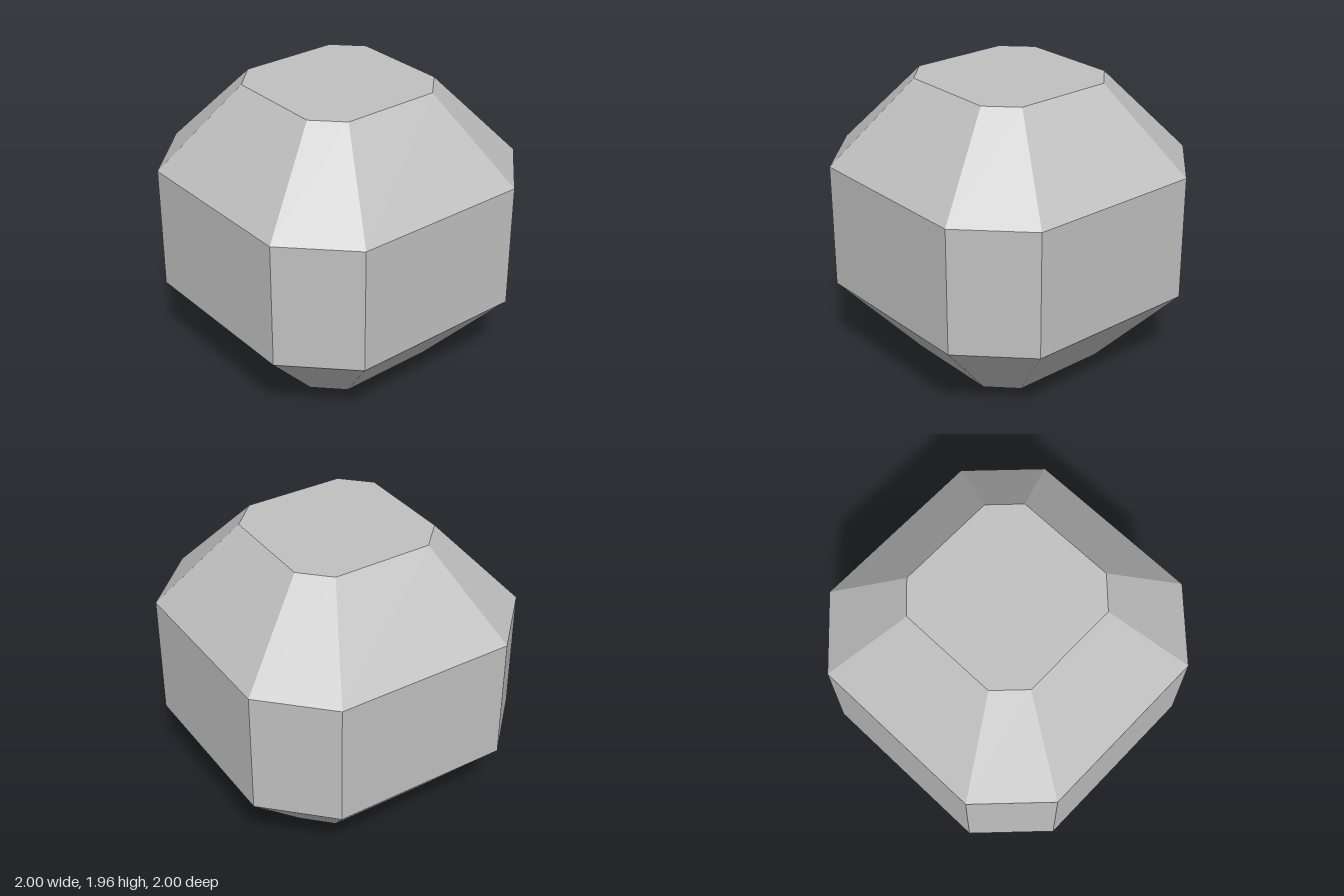
import * as THREE from 'three';

// Each ring is a square with cut corners: height, half width, half length of its straight sides
const RINGS = [
  { y: 0, half: 0.51, side: 0.335 },
  { y: 0.56, half: 1, side: 0.605 },
  { y: 1.4, half: 1, side: 0.605 },
  { y: 1.96, half: 0.51, side: 0.335 },
];

// Eight corners, running from +x towards +z
function ringPoints({ y, half: h, side: s }) {
  return [[h, -s], [h, s], [s, h], [-s, h], [-h, s], [-h, -s], [-s, -h], [s, -h]]
    .map(([x, z]) => new THREE.Vector3(x, y, z));
}

// Unshared corners give every facet its own flat normal
function facetGeometry(triangles) {
  const geometry = new THREE.BufferGeometry().setFromPoints(triangles);
  geometry.computeVertexNormals();
  return geometry;
}

// Band of eight flat facets between two rings
function bandGeometry(lower, upper) {
  const triangles = [];
  for (let i = 0; i < 8; i++) {
    const j = (i + 1) % 8;
    triangles.push(lower[j], lower[i], upper[i], lower[j], upper[i], upper[j]);
  }
  return facetGeometry(triangles);
}

// Flat octagonal end
function capGeometry(ring, facesUp) {
  const triangles = [];
  for (let i = 1; i < 7; i++) {
    triangles.push(ring[0], ...(facesUp ? [ring[i + 1], ring[i]] : [ring[i], ring[i + 1]]));
  }
  return facetGeometry(triangles);
}

export function createModel() {
  const group = new THREE.Group();
  group.name = 'facetedStone';
  const stoneGrey = new THREE.MeshStandardMaterial({ color: 0xc0c0c0 });
  stoneGrey.name = 'stoneGrey';

  const add = (name, geometry) => {
    const mesh = new THREE.Mesh(geometry, stoneGrey);
    mesh.name = name;
    group.add(mesh);
  };

  const rings = RINGS.map(ringPoints);
  ['lowerTaper', 'middleBand', 'upperTaper'].forEach((name, i) => {
    add(name, bandGeometry(rings[i], rings[i + 1]));
  });
  add('bottomFacet', capGeometry(rings[0], false));
  add('topFacet', capGeometry(rings[3], true));

  return group;
}
